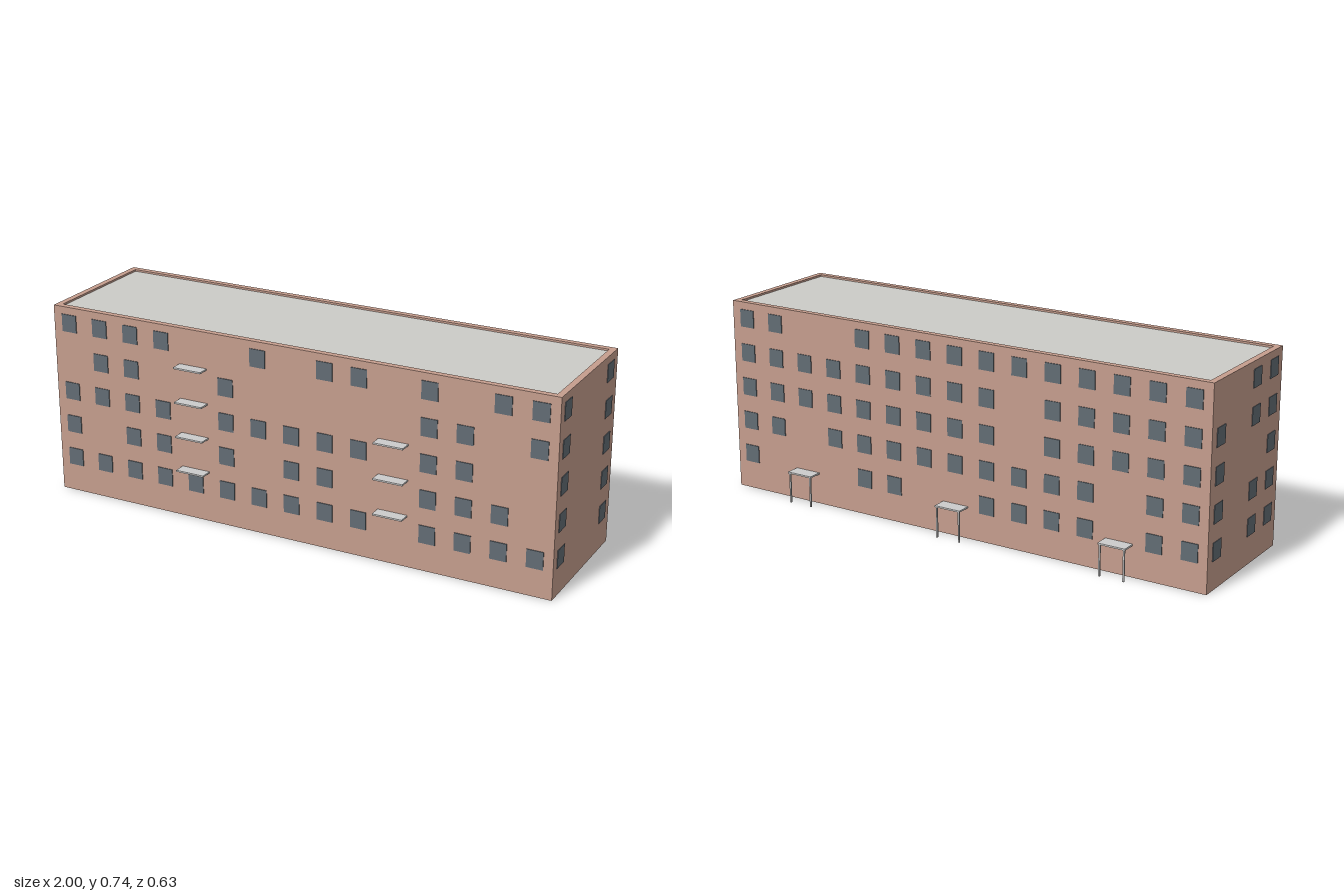
import * as THREE from 'three';

const material = (color) => new THREE.MeshStandardMaterial({ color });

const BACK = -0.26, FRONT = 0.27, HEIGHT = 0.735, WALL = 0.024;
const STEP = 2 / 15; // window bay and storey spacing
const COLUMNS = 15;

// Window columns on each floor, top floor first, counted from x = -1
const FRONT_WINDOWS = [
  [0, 1, 2, 3, 6, 8, 9, 11, 13, 14],
  [1, 2, 5, 11, 12, 14],
  [0, 1, 2, 3, 5, 6, 7, 8, 9, 11, 12],
  [0, 2, 3, 5, 7, 8, 11, 12, 13],
  [0, 1, 2, 3, 4, 5, 6, 7, 8, 9, 11, 12, 13, 14],
];
// Bays left blank on the back, counted from x = +1
const BACK_BLANKS = [[2, 3], [9], [9], [2, 12], [1, 2, 3, 6, 7, 12]];
// Window columns on the two ends, counted from the back
const RIGHT_END = [[0, 3], [0, 3], [0, 3], [0, 3], [0, 3]];
const LEFT_END = [[2, 3], [0, 2, 3], [0, 3], [0, 2, 3], [0, 2, 3]];

export function createModel() {
  const model = new THREE.Group();
  model.name = 'apartmentBlock';
  const brick = material(0xc59d8d);
  const glass = material(0x626c74);
  const roofGrey = material(0xcccbc7);
  const concrete = material(0xcccccc);

  // Box given by its lower and upper corners
  function box(parent, name, mat, [x0, y0, z0], [x1, y1, z1]) {
    const mesh = new THREE.Mesh(new THREE.BoxGeometry(x1 - x0, y1 - y0, z1 - z0), mat);
    mesh.position.set((x0 + x1) / 2, (y0 + y1) / 2, (z0 + z1) / 2);
    mesh.name = name;
    parent.add(mesh);
    return mesh;
  }

  function rectangle(PathType, x0, z0, x1, z1) {
    return new PathType().moveTo(x0, -z1).lineTo(x1, -z1)
      .lineTo(x1, -z0).lineTo(x0, -z0).closePath();
  }

  // Hollow ring of walls, open underneath
  const plan = rectangle(THREE.Shape, -1, BACK, 1, FRONT);
  plan.holes.push(rectangle(THREE.Path, -1 + WALL, BACK + WALL, 1 - WALL, FRONT - WALL));
  const wallGeometry = new THREE.ExtrudeGeometry(plan, { depth: HEIGHT, bevelEnabled: false });
  wallGeometry.rotateX(-Math.PI / 2);
  const walls = new THREE.Mesh(wallGeometry, brick);
  walls.name = 'walls';
  model.add(walls);

  // Flat roof just below the parapet
  box(model, 'roof', roofGrey,
    [-1 + WALL, 0.715, BACK + WALL], [1 - WALL, 0.728, FRONT - WALL]);

  // Windows: thin panes standing slightly proud of the walls
  const pane = new THREE.BoxGeometry(0.062, 0.067, 0.006);
  function windowWall(name, floors, place) {
    const group = new THREE.Group();
    group.name = name;
    floors.forEach((columns, floor) => columns.forEach((column) => {
      const mesh = new THREE.Mesh(pane, glass);
      mesh.name = 'window';
      place(mesh, column);
      mesh.position.y = 0.673 - floor * STEP;
      group.add(mesh);
    }));
    model.add(group);
  }
  const columnX = (column) => (column - 7) * STEP;
  const endZ = (column) => -0.194 + column * STEP;

  windowWall('frontWindows', FRONT_WINDOWS, (mesh, column) => {
    mesh.position.set(columnX(column), 0, FRONT);
  });
  const backWindows = BACK_BLANKS.map((blanks) =>
    Array.from({ length: COLUMNS }, (_, i) => i).filter((i) => !blanks.includes(i)));
  windowWall('backWindows', backWindows, (mesh, column) => {
    mesh.position.set(-columnX(column), 0, BACK);
  });
  for (const [name, floors, x] of [['rightEndWindows', RIGHT_END, 1], ['leftEndWindows', LEFT_END, -1]]) {
    windowWall(name, floors, (mesh, column) => {
      mesh.position.set(x * 0.999, 0, endZ(column));
      mesh.rotation.y = Math.PI / 2;
    });
  }

  // Balcony slabs on the front
  for (const [x, count] of [[-0.4, 4], [0.4, 3]]) {
    for (let i = 0; i < count; i++) {
      const y = 0.195 + i * STEP;
      box(model, 'balconySlab', concrete,
        [x - 0.057, y - 0.003, FRONT], [x + 0.057, y + 0.003, 0.315]);
    }
  }

  // Entrance canopies on two posts at the back
  for (const x of [-5 * STEP, 0, 5 * STEP]) {
    const canopy = new THREE.Group();
    canopy.name = 'entranceCanopy';
    box(canopy, 'canopySlab', concrete, [x - 0.053, 0.116, -0.315], [x + 0.053, 0.122, BACK]);
    for (const side of [-1, 1]) {
      const px = x + side * 0.047;
      box(canopy, 'canopyPost', concrete, [px - 0.003, 0, -0.312], [px + 0.003, 0.116, -0.306]);
    }
    model.add(canopy);
  }

  return model;
}
